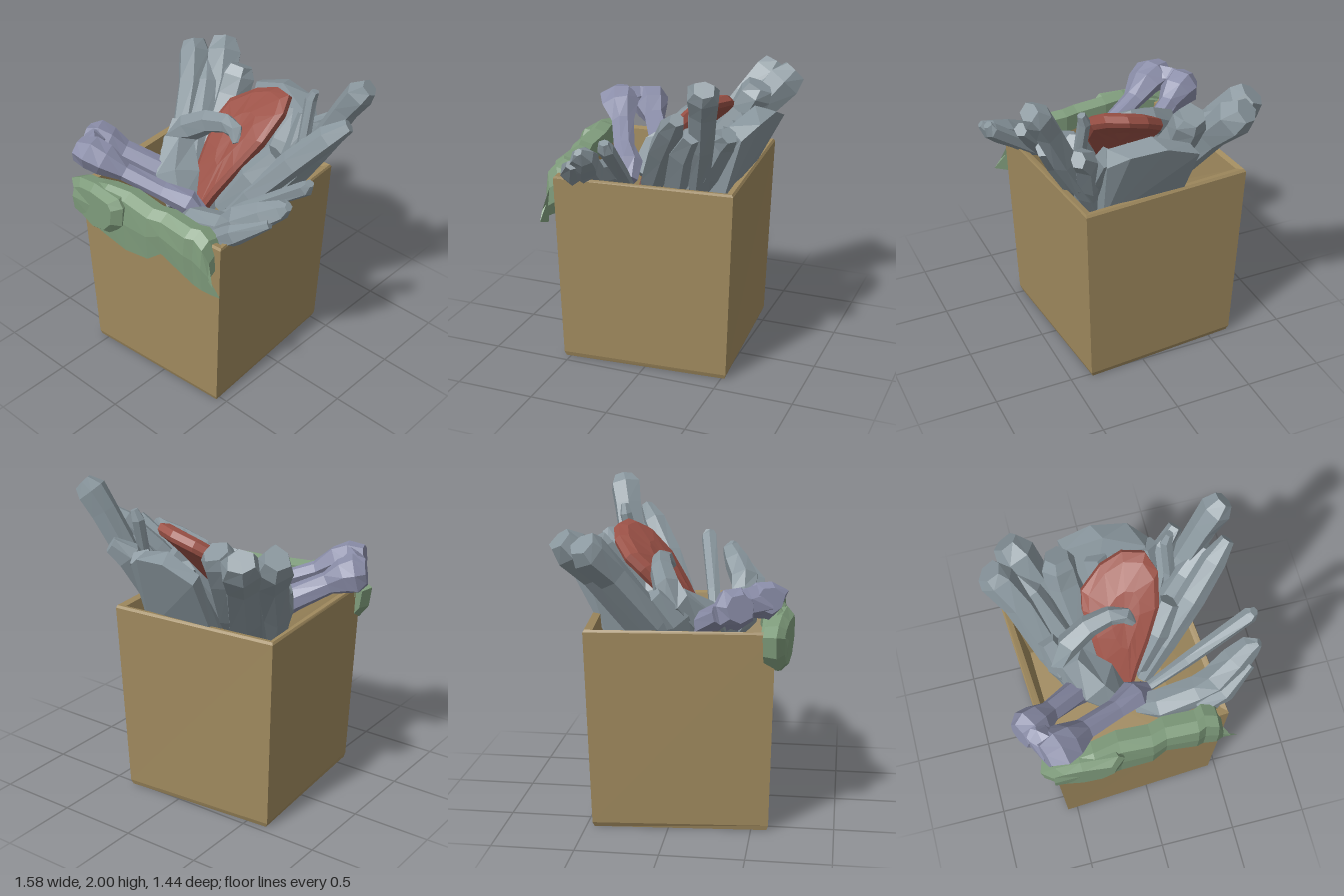
import * as THREE from 'three';
import { ConvexGeometry } from 'three/addons/geometries/ConvexGeometry.js';

const V = (x, y, z) => new THREE.Vector3(x, y, z);
const mat = (color) => new THREE.MeshStandardMaterial({ color, flatShading: true, side: THREE.DoubleSide });

// small seeded generator for the hand-made irregularity
let seed = 7;
const rnd = () => ((seed = (seed * 16807) % 2147483647) / 2147483647);

// skin a row of equal-length rings; open strips get no caps
function loft(rings, closed = true) {
  const pos = [];
  const tri = (...p) => p.forEach((v) => pos.push(v.x, v.y, v.z));
  const n = rings[0].length;
  for (let r = 0; r < rings.length - 1; r++) {
    const a = rings[r], b = rings[r + 1];
    for (let i = 0; i < (closed ? n : n - 1); i++) {
      const j = (i + 1) % n;
      tri(a[i], a[j], b[j]);
      tri(a[i], b[j], b[i]);
    }
  }
  if (closed) {
    const cap = (ring, flip) => {
      const c = ring.reduce((s, p) => s.add(p), V(0, 0, 0)).divideScalar(n);
      ring.forEach((p, i) => {
        const q = ring[(i + 1) % n];
        flip ? tri(c, q, p) : tri(c, p, q);
      });
    };
    cap(rings[0], true);
    cap(rings[rings.length - 1], false);
  }
  const g = new THREE.BufferGeometry();
  g.setAttribute('position', new THREE.Float32BufferAttribute(pos, 3));
  g.computeVertexNormals();
  return g;
}

// faceted limb through [x, y, z, radius] points
function limb(path, sides = 6) {
  const pts = path.map((p) => V(p[0], p[1], p[2]));
  const wobble = Array.from({ length: sides }, () => 0.86 + 0.28 * rnd());
  const rings = pts.map((p, k) => {
    const t = pts[Math.min(k + 1, pts.length - 1)].clone().sub(pts[Math.max(k - 1, 0)]).normalize();
    const u = V(0.3, 0.1, 1).cross(t).normalize();
    const w = t.clone().cross(u);
    return wobble.map((f, i) => {
      const a = (i / sides) * Math.PI * 2;
      const r = path[k][3] * f * (0.93 + 0.14 * rnd());
      return p.clone().addScaledVector(u, r * Math.cos(a)).addScaledVector(w, r * Math.sin(a));
    });
  });
  return loft(rings);
}

export function createModel() {
  seed = 7;
  const model = new THREE.Group();
  const tan = mat(0xa08a5e), grey = mat(0x89969d), red = mat(0x9c5247);
  const lilac = mat(0x8a8da8), green = mat(0x7f9c7c);
  const add = (name, geometry, material) => {
    const m = new THREE.Mesh(geometry, material);
    m.name = name;
    model.add(m);
  };

  // tapered open carton, turned slightly: corners back left, front left, front right, back right
  const corners = (y, ...xz) => xz.map(([x, z]) => V(x, y, z));
  add('carton', loft([
    corners(0.01, [-0.635, -0.45], [-0.56, 0.595], [0.44, 0.53], [0.36, -0.52]),
    corners(0.04, [-0.65, -0.46], [-0.565, 0.605], [0.45, 0.54], [0.37, -0.53]),
    corners(1.245, [-0.69, -0.49], [-0.61, 0.63], [0.5, 0.555], [0.41, -0.57]),
    corners(1.26, [-0.68, -0.48], [-0.605, 0.62], [0.495, 0.545], [0.405, -0.56]),
    corners(1.25, [-0.645, -0.44], [-0.565, 0.58], [0.46, 0.51], [0.37, -0.52]),
    corners(0.57, [-0.57, -0.38], [-0.53, 0.57], [0.28, 0.51], [0.24, -0.42])]), tan);

  // grey contents leaning out of the carton
  const sticks = {
    tallBackRight: [[0.12, 0.9, -0.15, 0.06], [0.29, 1.25, -0.3, 0.08], [0.47, 1.56, -0.39, 0.085], [0.59, 1.8, -0.44, 0.085], [0.66, 1.92, -0.47, 0.1], [0.71, 1.97, -0.49, 0.06]],
    lowBackRight: [[0.08, 1, 0.12, 0.05], [0.24, 1.24, 0, 0.085], [0.44, 1.5, -0.14, 0.09], [0.6, 1.69, -0.26, 0.08], [0.7, 1.78, -0.33, 0.045]],
    middleRight: [[0.15, 0.95, -0.08, 0.05], [0.3, 1.27, -0.2, 0.1], [0.46, 1.52, -0.29, 0.09], [0.58, 1.66, -0.38, 0.06]],
    thinBackRight: [[0.3, 1.1, -0.22, 0.04], [0.36, 1.5, -0.34, 0.04], [0.35, 1.78, -0.41, 0.04], [0.37, 1.84, -0.42, 0.025]],
    innerBackRight: [[0.2, 1, -0.15, 0.05], [0.3, 1.35, -0.36, 0.09], [0.37, 1.57, -0.48, 0.08], [0.45, 1.64, -0.55, 0.05]],
    shortRight: [[0.06, 1.1, 0.08, 0.05], [0.2, 1.34, -0.04, 0.08], [0.31, 1.49, -0.15, 0.07]],
    thinRight: [[0.06, 1.05, 0.22, 0.03], [0.35, 1.28, 0.17, 0.045], [0.74, 1.57, 0.09, 0.055], [0.76, 1.61, 0.09, 0.03]],
    frontRight: [[0, 1.1, 0.32, 0.06], [0.12, 1.19, 0.38, 0.09], [0.36, 1.25, 0.37, 0.09], [0.47, 1.34, 0.36, 0.1], [0.6, 1.43, 0.3, 0.085], [0.7, 1.49, 0.25, 0.06], [0.75, 1.53, 0.26, 0.025]],
    frontRightSpur: [[0.36, 1.2, 0.45, 0.06], [0.5, 1.31, 0.43, 0.065], [0.68, 1.42, 0.34, 0.03]],
    backLeft: [[-0.15, 0.9, 0.02, 0.06], [-0.3, 1.22, -0.22, 0.1], [-0.45, 1.55, -0.46, 0.1], [-0.53, 1.7, -0.58, 0.12], [-0.57, 1.77, -0.64, 0.08]],
    sideLeft: [[-0.3, 0.9, 0.12, 0.05], [-0.44, 1.25, -0.1, 0.09], [-0.57, 1.56, -0.33, 0.1], [-0.66, 1.71, -0.45, 0.11], [-0.7, 1.77, -0.48, 0.08]],
    betweenLeft: [[-0.24, 0.95, 0.06, 0.06], [-0.37, 1.3, -0.16, 0.09], [-0.5, 1.58, -0.38, 0.075], [-0.58, 1.68, -0.48, 0.04]],
    midLeft: [[-0.17, 0.95, 0, 0.08], [-0.24, 1.28, -0.23, 0.12], [-0.29, 1.55, -0.41, 0.11], [-0.3, 1.67, -0.47, 0.11], [-0.3, 1.73, -0.5, 0.08]],
    lowLeft: [[-0.3, 1, 0.1, 0.07], [-0.4, 1.26, -0.01, 0.11], [-0.47, 1.42, -0.12, 0.06]],
    curledClaw: [[-0.14, 1.08, 0.22, 0.1], [-0.25, 1.22, 0.14, 0.14], [-0.38, 1.37, 0.01, 0.1], [-0.34, 1.45, -0.05, 0.08], [-0.21, 1.53, -0.1, 0.07], [-0.07, 1.56, -0.12, 0.06], [0.02, 1.55, -0.1, 0.05], [0.06, 1.5, -0.06, 0.025]],
  };
  for (const [name, path] of Object.entries(sticks)) add(name, limb(path), grey);

  // broad grey slab at the back, with ridges along its front
  add('backSlab', new ConvexGeometry([
    V(-0.26, 1.57, -0.67), V(-0.05, 1.65, -0.68), V(0.17, 1.63, -0.65), V(0.28, 1.55, -0.57),
    V(-0.24, 1.6, -0.58), V(0.0, 1.69, -0.56), V(0.24, 1.62, -0.48),
    V(-0.25, 1.1, -0.43), V(0.25, 1.1, -0.44), V(-0.18, 1.1, -0.28), V(0.22, 1.1, -0.22)]), grey);
  for (const x of [-0.06, 0.1, 0.25]) {
    add('slabRidge', limb([[x, 1.1, -0.2, 0.06], [x + 0.02, 1.4, -0.4, 0.08], [x, 1.58, -0.51, 0.07]], 5), grey);
  }

  // red paddle: outline [x, t] on a surface curving up to the back, lower on its left
  const paddle = [[-0.12, 0.05], [-0.03, -0.02], [0.04, 0.12], [0.13, 0.28], [0.23, 0.5], [0.26, 0.75],
    [0.21, 0.93], [0.08, 1], [-0.06, 0.95], [-0.2, 0.8], [-0.22, 0.65], [-0.2, 0.42], [-0.18, 0.22]];
  const layer = (s, lift) => paddle.map(([px, pt]) => {
    const x = 0.02 + (px - 0.02) * s, t = 0.5 + (pt - 0.5) * s;
    return V(x, 1.08 + 1.1 * t - 0.42 * t * t + 0.25 * (x - 0.12) + lift, 0.2 - 0.62 * t + lift);
  });
  add('redPaddle', loft([layer(0.4, -0.045), layer(0.92, -0.04), layer(1, -0.02), layer(1, 0.01), layer(0.85, 0.025), layer(0.4, 0.03)]), red);

  // lilac pair of knobbed bars across the front left corner
  add('lilacBarRear', limb([[-0.24, 1.12, 0.14, 0.07], [-0.38, 1.25, 0.19, 0.08], [-0.56, 1.35, 0.31, 0.07],
    [-0.64, 1.4, 0.36, 0.11], [-0.7, 1.42, 0.4, 0.12], [-0.76, 1.43, 0.43, 0.08]], 7), lilac);
  add('lilacBarFront', limb([[0.06, 1.12, 0.25, 0.06], [-0.03, 1.2, 0.28, 0.09], [-0.16, 1.26, 0.37, 0.065], [-0.38, 1.35, 0.47, 0.07],
    [-0.49, 1.42, 0.54, 0.11], [-0.57, 1.45, 0.57, 0.125], [-0.65, 1.46, 0.6, 0.085]], 7), lilac);
  add('lilacBridge', limb([[-0.58, 1.44, 0.56, 0.09], [-0.65, 1.44, 0.47, 0.08], [-0.69, 1.42, 0.38, 0.09]]), lilac);

  // green cloth draped over the front rim: [x, hem height, ridge height]
  const cloth = [[-0.62, 1.08, 1.27], [-0.36, 1.02, 1.35], [-0.2, 0.95, 1.35], [0, 0.99, 1.33], [0.09, 1.06, 1.33],
    [0.29, 1.0, 1.32], [0.34, 0.95, 1.32], [0.42, 0.96, 1.29], [0.47, 0.94, 1.2], [0.56, 0.97, 1.08]];
  add('drapedCloth', loft(cloth.map(([x, hem, top], i) => {
    const z = 0.64 - 0.075 * x + (i % 2) * 0.02;
    const xt = Math.min(x, 0.43 + i * 0.003);
    return [V(xt, Math.min(1.2, top - 0.03), z - 0.14), V(xt, top - 0.02, z - 0.14), V(xt, top, z - 0.06),
      V(xt, top - 0.04, z), V((x + xt) / 2, (hem + top) / 2, z + 0.015), V(x, hem, z + 0.005)];
  }), false), green);

  // rounded cloth lobe at the front left
  const lobe = [[-0.69, 1.25], [-0.67, 1.12], [-0.6, 1.03], [-0.45, 0.99], [-0.3, 1.03], [-0.2, 1.14],
    [-0.18, 1.28], [-0.22, 1.33], [-0.45, 1.33], [-0.6, 1.3]];
  const lobeRing = (s, z) => lobe.map(([x, y]) => V(-0.43 + (x + 0.43) * s, 1.17 + (y - 1.17) * s, z + (x + 0.43) * 0.08));
  add('clothLobe', loft([lobeRing(0.9, 0.58), lobeRing(1, 0.66), lobeRing(0.75, 0.705)]), green);
  return model;
}
